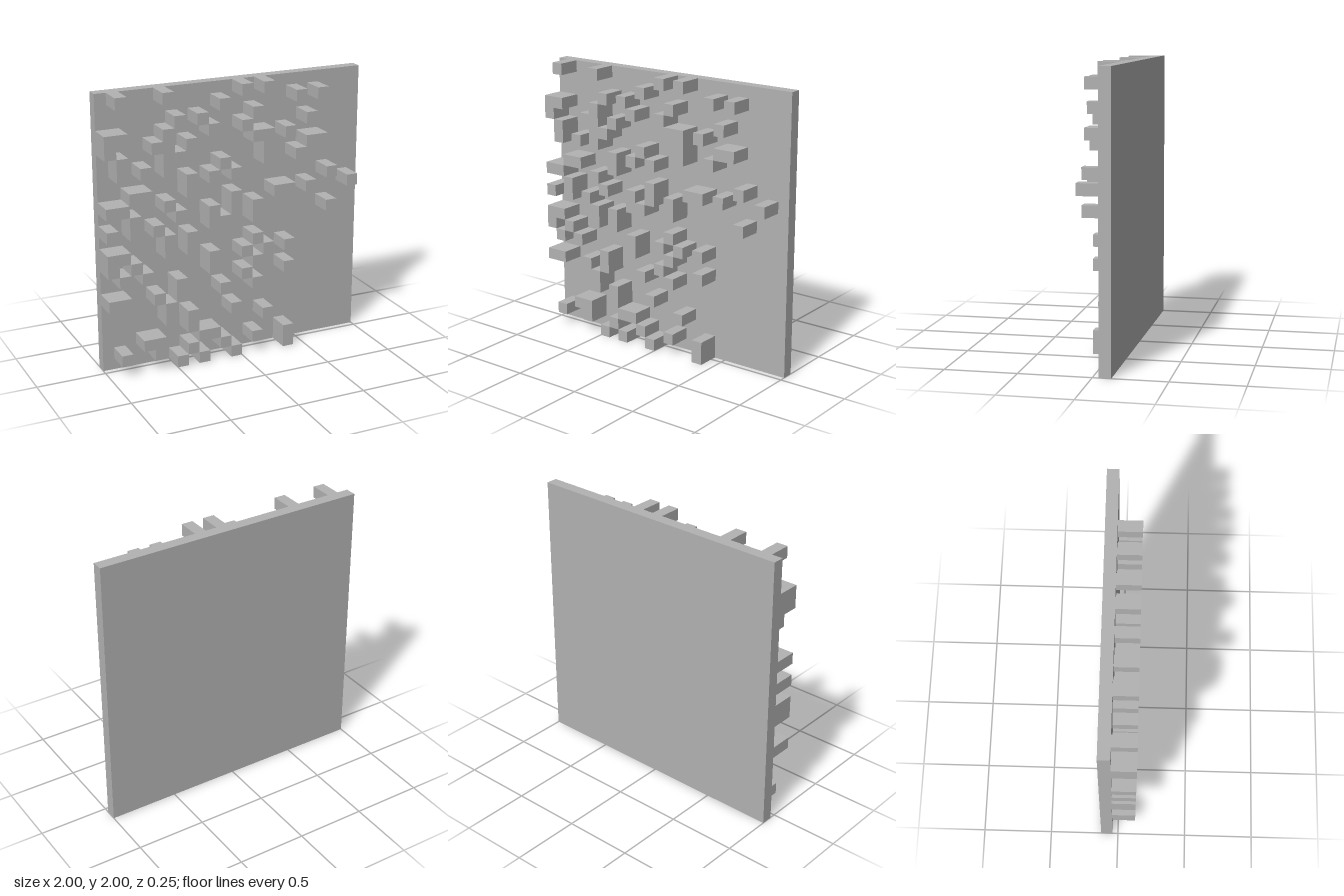
import * as THREE from 'three';

const N = 24;               // cells per side
const CELL = 2 / N;
const FRONT = 0.125, PLATE_FRONT = -0.0417, BACK = -0.125;

// Occupied columns for each row, from the top row down
const ROWS = [
  [1, 5, 12, 14], [10, 17, 19], [6, 8, 13], [0, 1, 5, 9, 12, 18],
  [0, 4, 5, 7, 13, 14, 16], [1, 5, 6, 14, 18, 19], [1, 3, 5, 10, 14, 17], [7, 9, 11],
  [2, 3, 7, 20], [0, 1, 5, 11, 15, 16, 18, 22], [2, 6, 9, 11, 13], [0, 2, 4, 9, 10, 13, 20],
  [5, 7], [0, 1, 5, 7, 13], [0, 2, 9, 12, 14, 16], [1, 3, 9, 13],
  [6, 12, 16], [0, 1, 4, 6, 10, 13], [5], [5, 7, 11],
  [7, 14], [3, 4, 8, 9], [1, 4, 7, 10, 13, 16], [6, 8, 11, 16],
];

export function createModel() {
  const group = new THREE.Group();
  const grey = new THREE.MeshStandardMaterial({ color: 0xb2b2b2 });
  grey.name = 'grey';

  const box = (name, x0, x1, y0, y1, z0, z1) => {
    const mesh = new THREE.Mesh(new THREE.BoxGeometry(x1 - x0, y1 - y0, z1 - z0), grey);
    mesh.position.set((x0 + x1) / 2, (y0 + y1) / 2, (z0 + z1) / 2);
    mesh.name = name;
    group.add(mesh);
  };

  // Square backing plate
  box('backPlate', -1, 1, 0, 2, BACK, PLATE_FRONT);

  // Raised blocks: merge neighbours into tall or wide bars
  const free = ROWS.map((cols) => new Set(cols));
  for (let r = 0; r < N; r++) {
    for (let c = 0; c < N; c++) {
      if (!free[r].has(c)) continue;
      let w = 1, h = 1;
      while (r + h < N && free[r + h].has(c)) h++;
      if (h === 1) while (free[r].has(c + w)) w++;
      for (let i = 0; i < h; i++) for (let j = 0; j < w; j++) free[r + i].delete(c + j);
      box('raisedBlock', -1 + c * CELL, -1 + (c + w) * CELL,
        2 - (r + h) * CELL, 2 - r * CELL, PLATE_FRONT, FRONT);
    }
  }
  return group;
}
